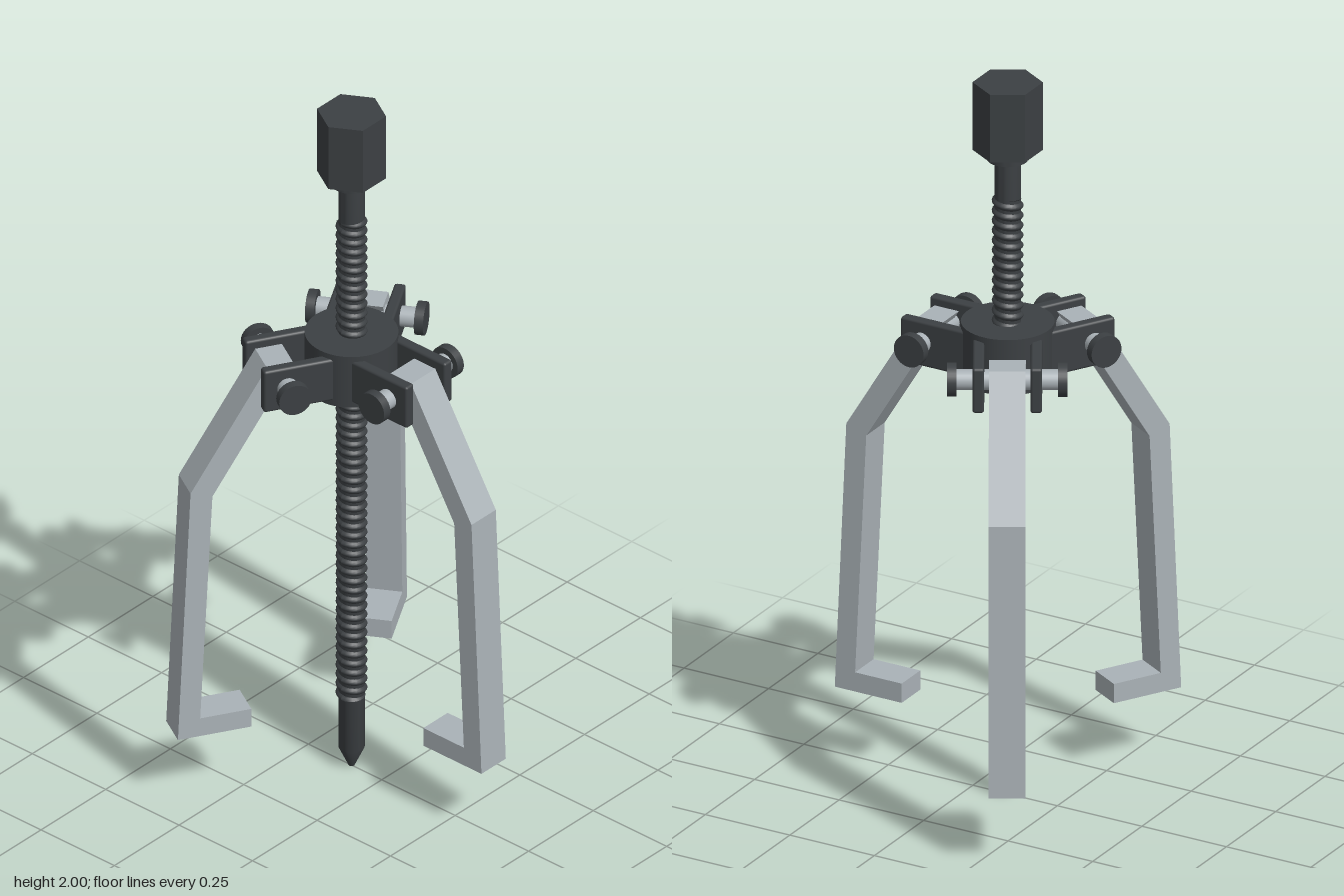
import * as THREE from 'three';
import { RoundedBoxGeometry } from 'three/addons/geometries/RoundedBoxGeometry.js';
import { toCreasedNormals } from 'three/addons/utils/BufferGeometryUtils.js';

const dark = new THREE.MeshStandardMaterial({ color: 0x3c4043 });
const steel = new THREE.MeshStandardMaterial({ color: 0xaab2b7 });

function add(parent, name, geometry, material, x = 0, y = 0, z = 0) {
  const mesh = new THREE.Mesh(geometry, material);
  mesh.name = name;
  mesh.position.set(x, y, z);
  parent.add(mesh);
  return mesh;
}

// Cylinder whose wall follows a helical wave
function threadGeometry(bottom, top, minor, major, pitch) {
  const length = top - bottom;
  const rows = Math.round(length / pitch) * 8;
  const geometry = new THREE.CylinderGeometry(1, 1, length, 24, rows, true);
  const pos = geometry.attributes.position;
  for (let i = 0; i < pos.count; i++) {
    const x = pos.getX(i), y = pos.getY(i), z = pos.getZ(i);
    const phase = (y / pitch) * Math.PI * 2 + Math.atan2(x, z);
    const r = minor + (major - minor) * (0.5 + 0.5 * Math.cos(phase));
    pos.setXYZ(i, x * r, y, z * r);
  }
  geometry.computeVertexNormals();
  return geometry;
}

function createScrew() {
  const screw = new THREE.Group();
  screw.name = 'forcingScrew';
  // Plain shaft with pointed tip, neck and collar
  const profile = [
    [0, 0], [0.008, 0.002], [0.034, 0.06], [0.034, 1.78],
    [0.053, 1.785], [0.053, 1.812], [0, 1.812],
  ].map(([r, y]) => new THREE.Vector2(r, y));
  add(screw, 'shaft', toCreasedNormals(new THREE.LatheGeometry(profile, 32), 0.5), dark);
  add(screw, 'thread', threadGeometry(0.22, 1.68, 0.032, 0.041, 0.028), dark, 0, 0.95, 0);
  // Hexagonal drive head
  const hex = toCreasedNormals(new THREE.CylinderGeometry(0.09, 0.09, 0.19, 6), 0.4);
  add(screw, 'hexHead', hex, dark, 0, 1.905, 0);
  return screw;
}

// Bent jaw with inward hook, profile drawn as (radius, height)
function jawGeometry() {
  const shape = new THREE.Shape([
    [0.286, 0.208], [0.484, 0.208], [0.45, 0.956], [0.244, 1.298],
    [0.172, 1.298], [0.391, 0.935], [0.424, 0.262], [0.286, 0.262],
  ].map(([r, y]) => new THREE.Vector2(r, y)));
  const geometry = new THREE.ExtrudeGeometry(shape, { depth: 0.094, bevelEnabled: false });
  return geometry.translate(0, 0, -0.047);
}

// One jaw with its pair of lugs and pivot pin, pointing along +x
function createArm() {
  const arm = new THREE.Group();
  arm.name = 'armAssembly';
  add(arm, 'jaw', jawGeometry(), steel);
  const pinR = 0.203, pinY = 1.257;
  const pin = new THREE.CylinderGeometry(0.027, 0.027, 0.28, 24).rotateX(Math.PI / 2);
  add(arm, 'pivotPin', pin, steel, pinR, pinY, 0);
  for (const side of [-1, 1]) {
    const lug = new RoundedBoxGeometry(0.216, 0.125, 0.03, 2, 0.007);
    add(arm, 'lug', lug, dark, 0.158, 1.252, side * 0.074);
    const head = new THREE.CylinderGeometry(0.044, 0.044, 0.024, 32).rotateX(Math.PI / 2);
    add(arm, 'pinHead', head, dark, pinR, pinY, side * 0.142);
  }
  return arm;
}

export function createModel() {
  const model = new THREE.Group();
  model.name = 'threeJawPuller';
  const body = new THREE.Group();
  body.name = 'puller';
  body.position.x = -0.103;
  model.add(body);

  body.add(createScrew());
  add(body, 'hub', new THREE.CylinderGeometry(0.12, 0.12, 0.155, 48), dark, 0, 1.252, 0);
  for (let i = 0; i < 3; i++) {
    const arm = createArm();
    arm.rotation.y = (i * Math.PI * 2) / 3;
    body.add(arm);
  }
  return model;
}
